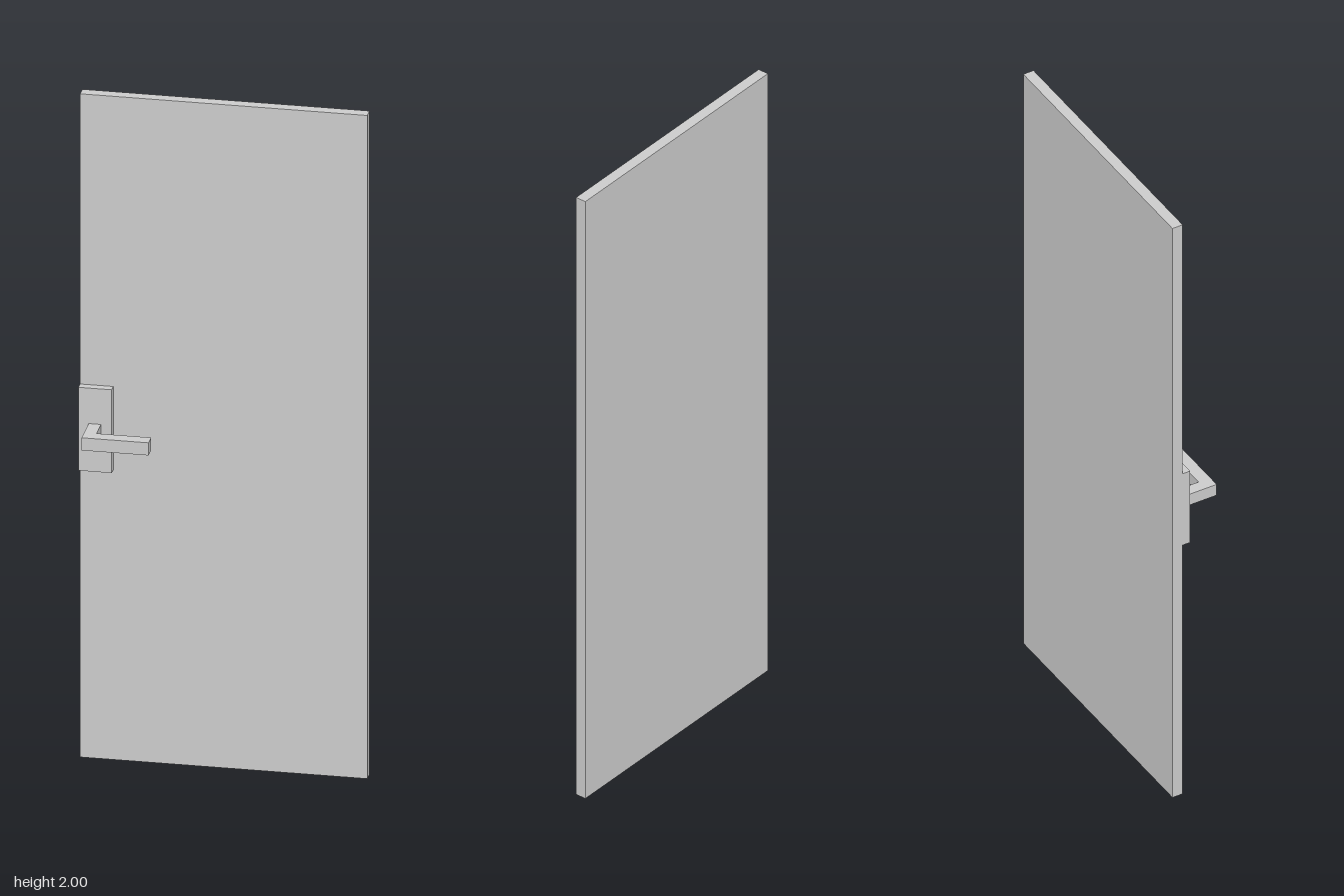
import * as THREE from 'three';

const material = new THREE.MeshStandardMaterial({ color: 0xcccccc });

// Box given by its lower and upper limits on each axis
function slab(name, [x0, x1], [y0, y1], [z0, z1]) {
  const mesh = new THREE.Mesh(new THREE.BoxGeometry(x1 - x0, y1 - y0, z1 - z0), material);
  mesh.position.set((x0 + x1) / 2, (y0 + y1) / 2, (z0 + z1) / 2);
  mesh.name = name;
  return mesh;
}

export function createModel() {
  const door = new THREE.Group();
  door.name = 'door';

  // Plain door leaf
  door.add(slab('doorPanel', [-0.406, 0.406], [0, 2], [-0.08, -0.047]));

  // Backplate flush with the door's edge
  door.add(slab('backplate', [-0.406, -0.312], [0.874, 1.125], [-0.047, -0.023]));

  // L-shaped lever handle: one outline extruded upwards
  const left = -0.377, stemRight = -0.342, tip = -0.188;
  const base = -0.023, inner = 0.042, outer = 0.08;
  const outline = new THREE.Shape([
    [left, base], [stemRight, base], [stemRight, inner],
    [tip, inner], [tip, outer], [left, outer],
  ].map(([x, z]) => new THREE.Vector2(x, z)));
  const height = 0.038;
  const geometry = new THREE.ExtrudeGeometry(outline, { depth: height, bevelEnabled: false });
  geometry.rotateX(Math.PI / 2); // shape y becomes z, depth runs down
  const handle = new THREE.Mesh(geometry, material);
  handle.position.y = 0.999 + height / 2;
  handle.name = 'leverHandle';
  door.add(handle);

  return door;
}
